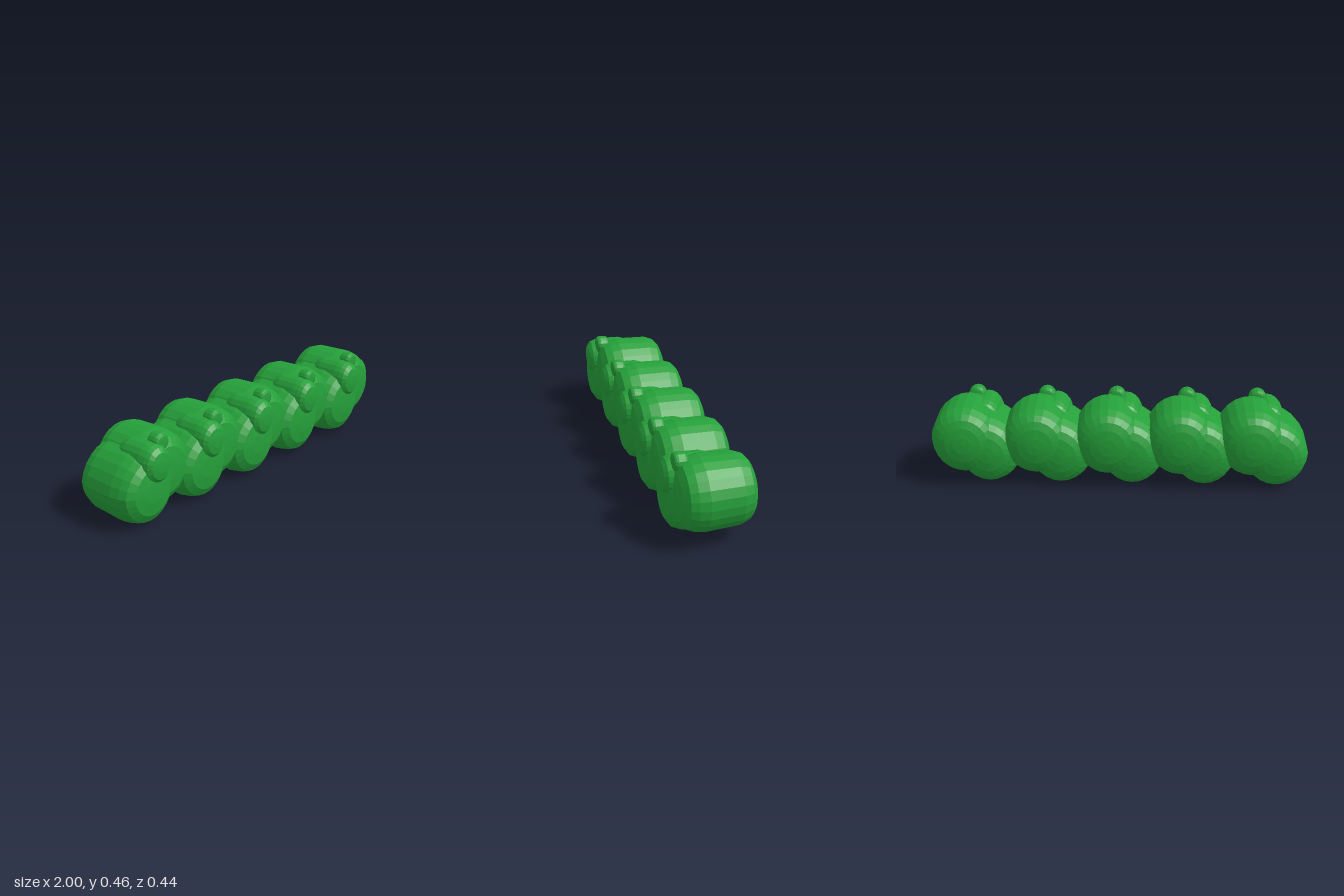
import * as THREE from 'three';

// Half-profile of a puffed drum: [position along z, radius], both from -1 to 1
const PROFILE = [
  [-1, 0], [-0.985, 0.25], [-0.94, 0.51], [-0.86, 0.72], [-0.74, 0.865], [-0.5, 0.96],
  [0.36, 1], [0.62, 0.95], [0.81, 0.865], [0.94, 0.65], [0.99, 0.3], [1, 0],
].map(([z, r]) => new THREE.Vector2(r, z));

// Drum-shaped clump of leaves; lean pushes its upper half towards +x
function clump(size, segments, lean = 0) {
  const geometry = new THREE.LatheGeometry(PROFILE, segments);
  geometry.rotateX(Math.PI / 2);
  geometry.scale(...size);
  const p = geometry.attributes.position;
  for (let i = 0; i < p.count; i++) {
    p.setX(i, p.getX(i) + lean * Math.max(0, p.getY(i)));
  }
  geometry.computeVertexNormals();
  return geometry;
}

export function createModel() {
  const model = new THREE.Group();
  model.name = 'hedge';
  const leaf = new THREE.MeshStandardMaterial({ color: 0x25a03a, flatShading: true });
  leaf.name = 'leaf green';

  // The four clumps of one bush, with positions relative to the bush
  const parts = [
    { name: 'lowerClump', geometry: clump([0.175, 0.19, 0.2], 24, 0.18), at: [-0.07, 0.19, 0] },
    { name: 'upperClump', geometry: clump([0.184, 0.187, 0.197], 24), at: [0.056, 0.248, -0.02] },
    { name: 'frontClump', geometry: clump([0.088, 0.105, 0.13], 20), at: [-0.032, 0.315, 0.088] },
    { name: 'topSprig', geometry: clump([0.047, 0.048, 0.038], 16), at: [0.02, 0.407, 0.136] },
  ];

  // Five bushes in a row
  for (let i = 0; i < 5; i++) {
    const bush = new THREE.Group();
    bush.name = `bush${i + 1}`;
    bush.position.x = (i - 2) * 0.3775;
    for (const { name, geometry, at } of parts) {
      const mesh = new THREE.Mesh(geometry, leaf);
      mesh.name = name;
      mesh.position.set(...at);
      bush.add(mesh);
    }
    model.add(bush);
  }
  return model;
}
